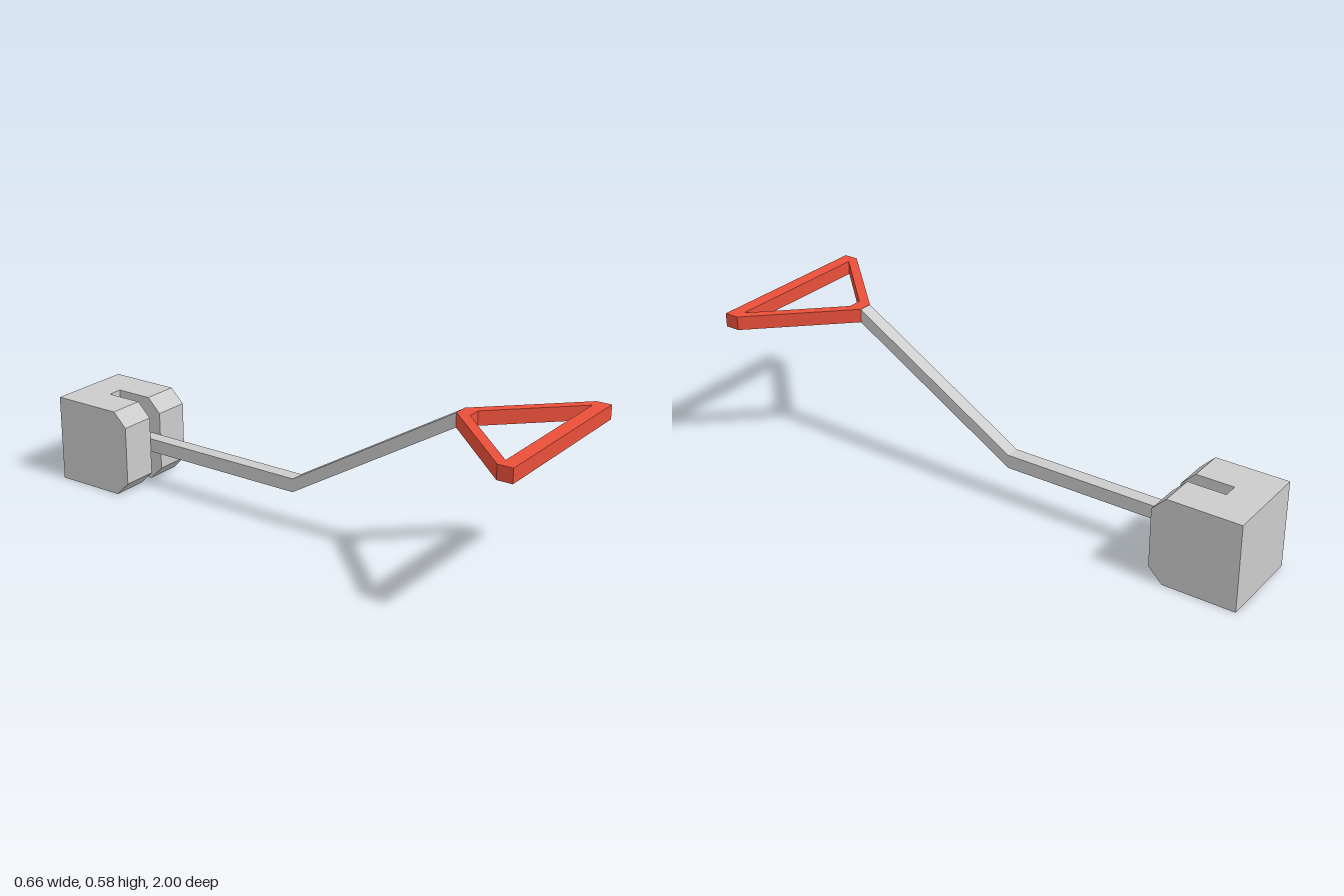
import * as THREE from 'three';

const toShape = (pts) => new THREE.Shape(pts.map(([a, b]) => new THREE.Vector2(a, b)));

// Outline given as (x, z), extruded upwards from y = 0
function extrudePlan(outline, hole, height, steps = 1) {
  const flip = (pts) => pts.map(([x, z]) => [x, -z]);
  const shape = toShape(flip(outline));
  if (hole) shape.holes.push(toShape(flip(hole)));
  return new THREE.ExtrudeGeometry(shape, { depth: height, steps, bevelEnabled: false }).rotateX(-Math.PI / 2);
}

// Outline given as (z, y), extruded across x and centred
function extrudeSide(outline, width) {
  return new THREE.ExtrudeGeometry(toShape(outline), { depth: width, bevelEnabled: false })
    .translate(0, 0, -width / 2)
    .rotateY(-Math.PI / 2);
}

// Block with a full-height slot and chamfered front edges
function blockGeometry() {
  const w = 0.163, s = 0.028, back = -1, front = -0.675, slotEnd = -0.87, height = 0.327, chamfer = 0.053;
  const geometry = extrudePlan(
    [[-w, back], [w, back], [w, front], [s, front], [s, slotEnd], [-s, slotEnd], [-s, front], [-w, front]],
    null, height, 3);
  const levels = [0, chamfer, height - chamfer, height];
  const p = geometry.attributes.position;
  for (let i = 0; i < p.count; i++) {
    const level = Math.round(p.getY(i) / height * 3);
    p.setY(i, levels[level]);
    // pull the top and bottom front edges back
    if ((level === 0 || level === 3) && p.getZ(i) > front - 0.01) p.setZ(i, front - chamfer);
  }
  geometry.computeVertexNormals();
  return geometry;
}

export function createModel() {
  const group = new THREE.Group();
  const grey = new THREE.MeshStandardMaterial({ color: 0xcccccc, flatShading: true });
  const red = new THREE.MeshStandardMaterial({ color: 0xea4f3a, flatShading: true });
  const add = (name, geometry, material) => {
    const mesh = new THREE.Mesh(geometry, material);
    mesh.name = name;
    group.add(mesh);
  };

  add('slottedBlock', blockGeometry(), grey);

  // Bent square bar running from the slot up to the handle
  add('bentRod', extrudeSide(
    [[-0.87, 0.139], [-0.02, 0.139], [0.63, 0.53], [0.63, 0.581], [-0.02, 0.19], [-0.87, 0.19]], 0.052), grey);

  // Triangular grip with clipped corners
  const handle = extrudePlan(
    [[-0.33, 1], [0.33, 1], [0.33, 0.945], [0.026, 0.628], [-0.026, 0.628], [-0.33, 0.945]],
    [[-0.288, 0.95], [0.288, 0.95], [0.026, 0.678], [-0.026, 0.678]], 0.051);
  add('triangleHandle', handle.translate(0, 0.53, 0), red);

  return group;
}
